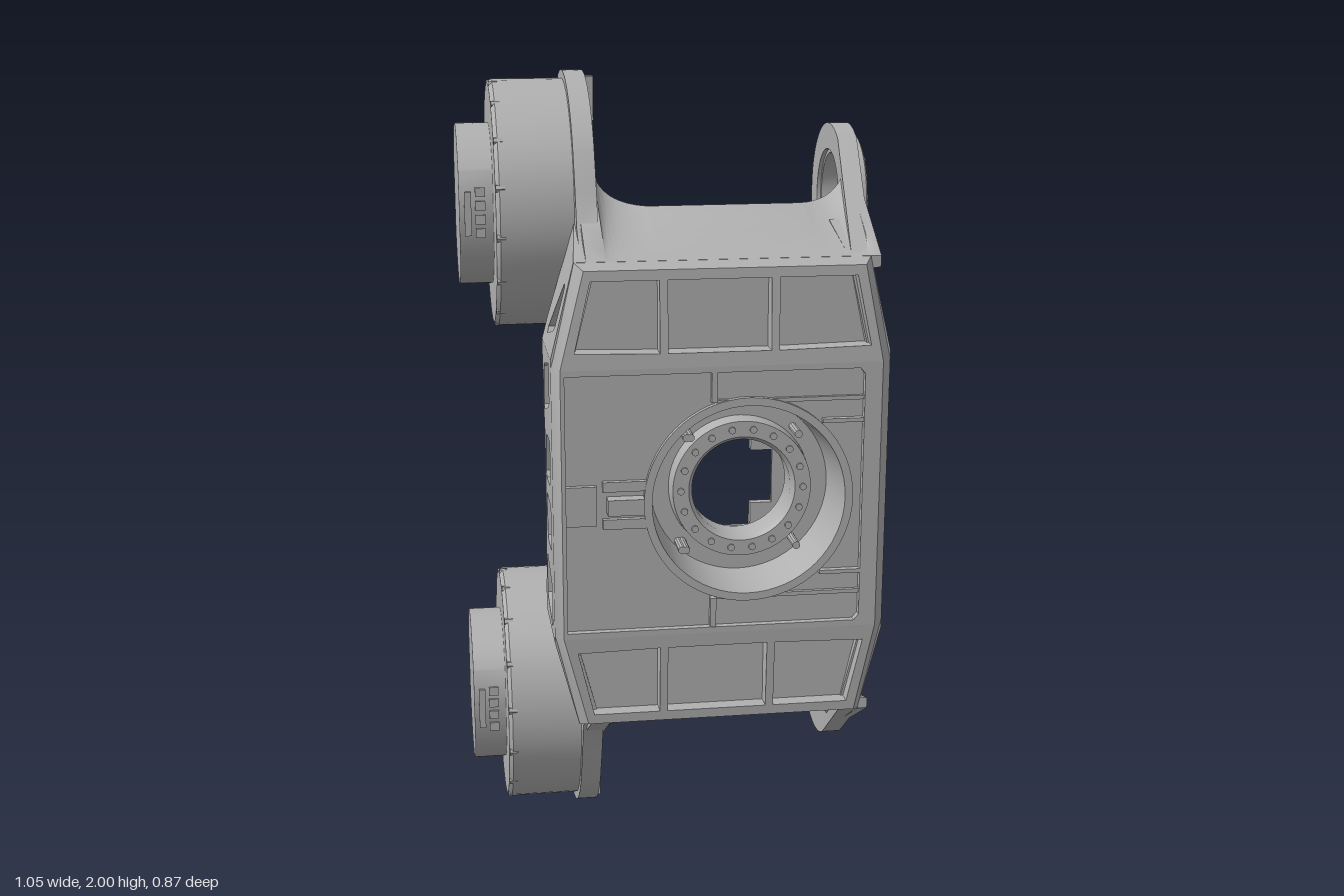
import * as THREE from 'three';
import { toCreasedNormals } from 'three/addons/utils/BufferGeometryUtils.js';

const AXIS_Y = 1.665, AXIS_A = 0.12; // motor axis; "a" means -z in side profiles
const RAD = Math.PI / 180;

export function createModel() {
  const root = new THREE.Group();
  root.name = 'robotTorsoFrame';
  const metal = new THREE.MeshStandardMaterial({ color: 0xb0b0b0 });
  metal.name = 'castMetal';

  // ---------- helpers ----------
  const put = (name, geo) => {
    const mesh = new THREE.Mesh(toCreasedNormals(geo, 0.6), metal);
    mesh.name = name;
    root.add(mesh);
  };
  const mirrorY = (geo) => {
    const g = geo.index ? geo.toNonIndexed() : geo.clone();
    g.scale(1, -1, 1).translate(0, 2, 0);
    const p = g.attributes.position, b = new THREE.Vector3(), c = new THREE.Vector3();
    for (let i = 0; i < p.count; i += 3) {
      b.fromBufferAttribute(p, i + 1);
      c.fromBufferAttribute(p, i + 2);
      p.setXYZ(i + 1, c.x, c.y, c.z);
      p.setXYZ(i + 2, b.x, b.y, b.z);
    }
    return g;
  };
  const pair = (name, geo) => { // upper part and its lower mirror image
    put(name + 'Upper', geo);
    put(name + 'Lower', mirrorY(geo));
  };
  const poly = (pts) => new THREE.Shape(pts.map(([x, y]) => new THREE.Vector2(x, y)));
  const circle = (x, y, r) => new THREE.Path().absarc(x, y, r, 0, Math.PI * 2, true);
  const extrude = (shape, depth, steps = 1) =>
    new THREE.ExtrudeGeometry(shape, { depth, steps, bevelEnabled: false, curveSegments: 32 });
  const front = (shape, z0, z1) => extrude(shape, z1 - z0).translate(0, 0, z0);
  const side = (shape, x0, x1) => extrude(shape, x1 - x0).rotateY(Math.PI / 2).translate(x0, 0, 0);
  const box = (x0, x1, y0, y1, z0, z1) => new THREE.BoxGeometry(x1 - x0, y1 - y0, z1 - z0)
    .translate((x0 + x1) / 2, (y0 + y1) / 2, (z0 + z1) / 2);
  const lathe = (pts) => new THREE.LatheGeometry(pts.map(([r, h]) => new THREE.Vector2(r, h)), 64);
  const latheX = (pts) => lathe(pts).rotateZ(-Math.PI / 2).translate(0, AXIS_Y, -AXIS_A);
  const move = (geo, rule) => {
    const p = geo.attributes.position;
    for (let i = 0; i < p.count; i++) p.setXYZ(i, ...rule(p.getX(i), p.getY(i), p.getZ(i)));
    return geo;
  };
  // bolt along x, at an angle around the motor axis
  const axisBolt = (name, x, r, deg, size, len = 0.012, sides = 12) => pair(name,
    new THREE.CylinderGeometry(size, size, len, sides).rotateZ(Math.PI / 2)
      .translate(x, AXIS_Y + r * Math.sin(deg * RAD), -AXIS_A - r * Math.cos(deg * RAD)));

  // ---------- front face ----------
  const backLoop = [[-.33, .66], [-.27, .41], [.45, .41], [.5, .66], [.5, 1.34], [.45, 1.59], [-.27, 1.59], [-.33, 1.34]];
  const frontLoop = [[-.31, .66], [-.25, .425], [.43, .425], [.475, .66], [.475, 1.34], [.43, 1.575], [-.25, 1.575], [-.31, 1.34]];
  const faceZ = (y) => 0.416 - Math.max(0, Math.abs(y - 1) - 0.34) * 0.065;
  const rim = [];
  backLoop.forEach((a, i) => {
    const j = (i + 1) % backLoop.length, b = backLoop[j];
    const backZ = (y) => faceZ(y) - (Math.abs(y - 1) > .5 ? .036 : .031);
    const A = [...a, backZ(a[1])], B = [...b, backZ(b[1])];
    const C = [...frontLoop[j], faceZ(frontLoop[j][1])], D = [...frontLoop[i], faceZ(frontLoop[i][1])];
    rim.push(...A, ...B, ...C, ...A, ...C, ...D);
  });
  const rimGeo = new THREE.BufferGeometry();
  rimGeo.setAttribute('position', new THREE.Float32BufferAttribute(rim, 3));
  put('bevelledRim', rimGeo);

  const plate = poly(backLoop);
  plate.holes.push(circle(.15, 1, .24));
  put('floorPlate', front(plate, .335, .362));

  const frame = poly([[-.31, .66], [.475, .66], [.475, 1.34], [-.31, 1.34]]);
  frame.holes.push(poly([[-.3, .675], [-.3, 1.325], [.42, 1.325], [.432, 1.31], [.432, .69], [.42, .675]]));
  put('frontFrame', front(frame, .362, .416));
  const recess = poly([[-.305, .67], [.44, .67], [.44, 1.33], [-.305, 1.33]]);
  recess.holes.push(circle(.15, 1, .245));
  put('frontRecess', front(recess, .362, .398));

  const endFrame = poly([[-.31, 1.34], [.475, 1.34], [.43, 1.575], [-.25, 1.575]]);
  endFrame.holes.push(
    poly([[-.275, 1.38], [-.07, 1.375], [-.07, 1.55], [-.235, 1.55]]),
    poly([[-.05, 1.375], [.2, 1.375], [.2, 1.55], [-.05, 1.55]]),
    poly([[.22, 1.375], [.445, 1.38], [.41, 1.55], [.22, 1.55]]));
  pair('endPocketFrame', move(front(endFrame, .35, .416),
    (x, y, z) => [x, y, z > .4 ? faceZ(y) : z]));

  // ribs, connector and central port
  pair('frontRib', box(.055, .07, 1.25, 1.33, .39, .414));
  pair('frontSideRib', box(.33, .44, 1.19, 1.2, .39, .414));
  pair('frontTopRib', box(.07, .44, 1.245, 1.255, .39, .408));
  put('connectorHousing', box(-.2, -.11, .98, 1.02, .39, .432));
  pair('connectorRail', box(-.21, -.1, 1.035, 1.06, .39, .412));
  put('sidePad', box(-.3, -.225, .95, 1.05, .39, .412));
  put('centralPort', lathe([[.125, .23], [.245, .23], [.255, .25], [.26, .414], [.24, .414], [.225, .27],
    [.18, .27], [.175, .315], [.135, .315], [.125, .3], [.125, .23]]).rotateX(Math.PI / 2).translate(.15, 1, 0));
  for (let i = 0; i < 18; i++) {
    const t = i * Math.PI / 9;
    put('portBolt', new THREE.CylinderGeometry(.009, .009, .008, 10).rotateX(Math.PI / 2)
      .translate(.15 + .155 * Math.cos(t), 1 + .155 * Math.sin(t), .316));
  }

  // ---------- side walls with pockets ----------
  const upperBack = [[-.17, 1.12], [-.145, 1.19], [-.155, 1.24], [-.125, 1.3], [-.13, 1.36]];
  const midOutline = [[-.385, .64], ...upperBack.map(([a, y]) => [a, 2 - y]).reverse(), ...upperBack, [-.385, 1.36]];
  const endOutline = [[-.385, 1.36], [-.13, 1.36], [-.13, 1.42], [-.2, 1.655], [-.365, 1.59]];
  const pockets = [
    [[-.32, 1.34], [-.32, 1.24], [-.305, 1.225], [-.18, 1.19], [-.17, 1.2], [-.175, 1.3], [-.19, 1.31]],
    [[-.32, 1.14], [-.32, 1.04], [-.305, 1.025], [-.21, 1.02], [-.2, 1.035], [-.22, 1.13], [-.235, 1.14]]];
  const endPocket = [[-.32, 1.52], [-.32, 1.43], [-.305, 1.415], [-.21, 1.39], [-.2, 1.405], [-.3, 1.53]];
  for (const [label, sgn, outer, k] of [['left', 1, .5, .217], ['right', -1, -.33, .26]]) {
    const wall = poly(midOutline);
    for (const p of pockets) wall.holes.push(poly(p), poly(p.map(([a, y]) => [a, 2 - y])));
    const cap = poly(endOutline);
    cap.holes.push(poly(endPocket));
    const slab = (shape, d0, d1) => {
      const xs = [outer - sgn * d0, outer - sgn * d1].sort((p, q) => p - q);
      return side(shape, xs[0], xs[1]);
    };
    const taper = (g) => move(g, (x, y, z) => [x - sgn * k * (y - 1.36), y, z]);
    put(label + 'SideWall', slab(wall, 0, .035));
    put(label + 'SideLiner', slab(poly(midOutline), .035, .055));
    pair(label + 'SideEnd', taper(slab(cap, 0, .035)));
    pair(label + 'SideEndLiner', taper(slab(poly(endOutline), .035, .055)));
  }

  // ---------- end walls flowing into the arms ----------
  const saddle = new THREE.Shape();
  saddle.moveTo(-.24, -.028).lineTo(-.19, -.031).lineTo(-.05, -.035).lineTo(.31, -.035).lineTo(.45, -.031)
    .lineTo(.475, -.028).lineTo(.475, .09).lineTo(.452, .09)
    .quadraticCurveTo(.44, 0, .33, 0).lineTo(-.06, 0)
    .quadraticCurveTo(-.18, 0, -.192, .09).lineTo(-.24, .09);
  pair('endWall', move(extrude(saddle, 1, 8), (x, y, z) => {
    const t = 1 - z;
    const edge = THREE.MathUtils.clamp((Math.abs(x - .13) - .18) / .14, 0, 1);
    return [x, 1.59 + .095 * t + (y > 0 ? y * t : y), .365 - t * (.235 + .07 * edge)];
  }));
  // curved inner wall and ribs of the end bays
  const cross = new THREE.Shape();
  cross.moveTo(-.34, 1.355).lineTo(-.16, 1.355).quadraticCurveTo(-.09, 1.36, -.065, 1.42)
    .lineTo(-.085, 1.428).quadraticCurveTo(-.11, 1.38, -.16, 1.377).lineTo(-.34, 1.377);
  pair('innerCrossWall', side(cross, -.24, .455));
  const rib = new THREE.Shape();
  rib.moveTo(-.34, 1.37).lineTo(-.15, 1.37).lineTo(-.08, 1.42)
    .quadraticCurveTo(-.2, 1.5, -.135, 1.665).lineTo(-.34, 1.58);
  for (const x of [.03, .235]) pair('endRib', side(rib, x, x + .025));

  // ---------- left arms with bearing rings, leaning in toward the body ----------
  const arm = new THREE.Shape();
  arm.moveTo(-.36, 1.59).lineTo(-.29, 1.565).lineTo(-.17, 1.45).lineTo(-.135, 1.4);
  arm.absarc(AXIS_A, AXIS_Y, .192, 256 * RAD, 482 * RAD, false);
  arm.holes.push(circle(AXIS_A, AXIS_Y, .125));
  pair('leftArm', move(side(arm, .45, .5), (x, y, z) => [x - .17 * Math.max(0, z - .08), y, z]));
  pair('bearingRing', latheX([[.115, .46], [.135, .46], [.165, .495], [.165, .515], [.158, .52], [.135, .52], [.13, .508], [.115, .508], [.115, .46]]));
  for (let i = 0; i < 8; i++) axisBolt('ringBolt', .516, .148, i * 45, .009);

  // ---------- right arms with motor flanges ----------
  const flange = new THREE.Shape();
  flange.absarc(AXIS_A, AXIS_Y, .335, 69 * RAD, 150 * RAD, false);
  flange.lineTo(-.215, 1.74).lineTo(-.25, 1.648).lineTo(-.29, 1.618);
  flange.lineTo(-.36, 1.59).lineTo(-.29, 1.54).lineTo(-.2, 1.42).lineTo(-.13, 1.38);
  flange.absarc(AXIS_A, AXIS_Y, .335, 238 * RAD, 291 * RAD, false);
  flange.absarc(AXIS_A, AXIS_Y, .255, 291 * RAD, 69 * RAD, true);
  pair('rightArmFlange', side(flange, -.25, -.198));
  for (const d of [77, 103, 135, 165, 225, 257, 283]) axisBolt('flangeBolt', -.2, .295, d, .018);

  // ---------- motors ----------
  pair('motorHousing', latheX([[0, -.44], [.305, -.44], [.315, -.43], [.315, -.235], [.26, -.235], [.255, -.225], [.215, -.225],
    [.213, -.205], [.17, -.205], [.165, -.2], [.125, -.2], [.12, -.215], [.075, -.215], [.07, -.195], [.035, -.195], [.03, -.21], [0, -.21]]));
  const cover = new THREE.Shape();
  cover.absarc(AXIS_A, AXIS_Y, .205, 28.6 * RAD, 151.4 * RAD, false);
  cover.absarc(AXIS_A, AXIS_Y, .205, 208.6 * RAD, 331.4 * RAD, false);
  pair('motorCover', side(cover, -.525, -.43));
  pair('motorSeam', box(-.235, -.178, 1.88, 1.99, -.08, -.04));
  pair('motorSeamInner', box(-.235, -.178, 1.345, 1.45, -.08, -.04));
  pair('coverSocket', box(-.512, -.495, 1.61, 1.72, .05, .066));
  for (let i = 0; i < 4; i++) pair('coverPin', box(-.485, -.46, 1.605 + i * .034, 1.628 + i * .034, .05, .066));
  for (let i = 0; i < 6; i++) {
    axisBolt('hubBolt', -.212, .098, i * 60, .018);
    pair('hubSpoke', new THREE.BoxGeometry(.012, .012, .06).translate(0, 0, .1).rotateX(i * Math.PI / 3 + .5)
      .translate(-.211, AXIS_Y, -AXIS_A));
  }
  for (let i = 0; i < 16; i++) {
    axisBolt('faceBolt', -.228, .235, i * 22.5, .009);
    axisBolt('housingLug', -.428, .307, i * 22.5 + 8, .01, .022, 6);
  }
  for (const d of [-20, 0, 20]) axisBolt('rimBolt', -.238, .29, d, .011);

  // ---------- electronics inside the back ----------
  let seed = 7;
  const rnd = () => (seed = (seed * 16807) % 2147483647) / 2147483647;
  const boards = [[-.2, .02, .84, 1.16], [.0, .3, 1.13, 1.33], [-.02, .3, .67, .87]];
  for (const [x0, x1, y0, y1] of boards) {
    put('circuitBoard', box(x0, x1, y0, y1, .2, .212));
    for (const x of [x0 + .015, x1 - .015]) for (const y of [y0 + .015, y1 - .015]) {
      put('boardPost', new THREE.CylinderGeometry(.01, .01, .16, 10).rotateX(Math.PI / 2).translate(x, y, .265));
    }
    const nx = Math.round((x1 - x0) / .05), ny = Math.round((y1 - y0) / .05);
    for (let i = 0; i < nx; i++) for (let j = 0; j < ny; j++) {
      const x = x0 + (i + .5) * (x1 - x0) / nx, y = y0 + (j + .5) * (y1 - y0) / ny;
      const w = .01 + rnd() * .012, h = .01 + rnd() * .012;
      put('boardChip', box(x - w, x + w, y - h, y + h, .178 + rnd() * .016, .202));
    }
  }
  put('processorBlock', box(-.17, -.04, .92, 1.08, .17, .202));
  put('powerModule', box(.3, .43, .9, 1.1, .18, .25));
  put('boardTab', box(.245, .31, .93, 1.07, .2, .212));
  pair('boardConnector', box(.19, .3, 1.07, 1.14, .19, .212));
  for (const x of [-.25, .405]) pair('mountBlock', box(x, x + .04, 1.16, 1.21, .19, .34));

  return root;
}
